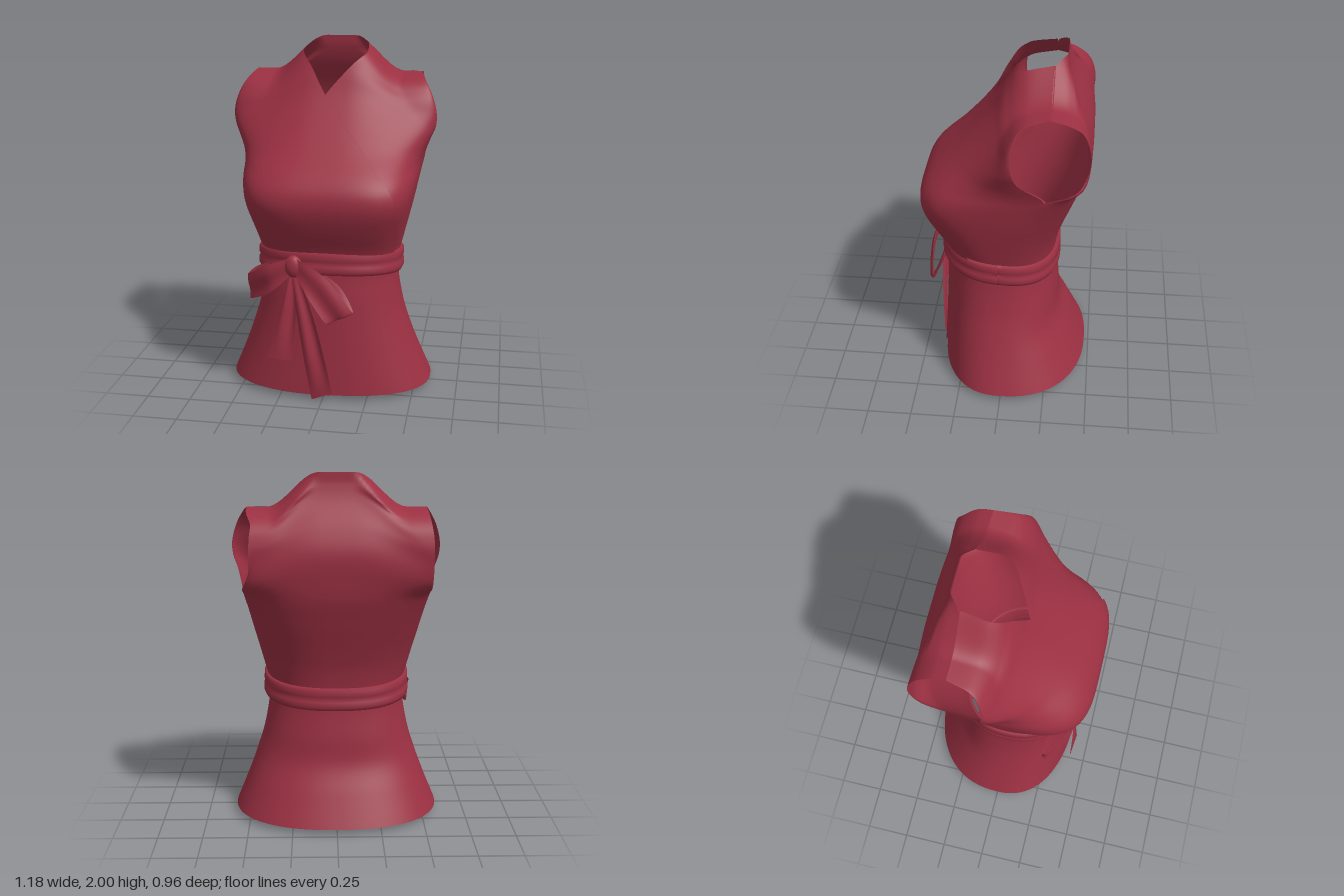
import * as THREE from 'three';

// Smooth curve through [key, value] pairs (Hermite, ascending keys)
function curve(...p) {
  const slope = (i) => {
    const a = p[Math.max(i - 1, 0)], b = p[Math.min(i + 1, p.length - 1)];
    return (b[1] - a[1]) / (b[0] - a[0]);
  };
  return (k) => {
    if (k <= p[0][0]) return p[0][1];
    if (k >= p[p.length - 1][0]) return p[p.length - 1][1];
    let i = 0;
    while (k > p[i + 1][0]) i++;
    const h = p[i + 1][0] - p[i][0], t = (k - p[i][0]) / h, t2 = t * t, t3 = t2 * t;
    return (2 * t3 - 3 * t2 + 1) * p[i][1] + (t3 - 2 * t2 + t) * h * slope(i)
      + (3 * t2 - 2 * t3) * p[i + 1][1] + (t3 - t2) * h * slope(i + 1);
  };
}
const smooth = (a, b, x) => THREE.MathUtils.smoothstep(x, a, b);

// Rows r run from the hem to the shoulder; r is the height at the garment's side.
const HEM = 0.03, TOP = 1.81;
const lower = [[0.03, 0.59], [0.2, 0.52], [0.35, 0.465], [0.5, 0.42], [0.7, 0.387], [0.8, 0.393],
  [0.9, 0.417], [1.1, 0.465], [1.25, 0.495], [1.34, 0.512]];
const seam = [[0.03, 0], [0.7, 0.03], [1.0, 0], [1.15, -0.06], [1.27, -0.15], [1.34, -0.23]];
const rise = [[0.03, 0.03], [1.2, 1.2], [1.34, 1.34], [1.4, 1.44], [1.5, 1.58], [1.6, 1.71]];
const front = {
  x: curve(...lower, [1.45, 0.55], [1.52, 0.578], [1.6, 0.583], [1.7, 0.555], [1.78, 0.51], [1.81, 0.485]),
  z: curve(...seam, [1.45, -0.1], [1.52, -0.068], [1.6, -0.055], [1.7, -0.07], [1.78, -0.13], [1.81, -0.25]),
  mid: curve([0.03, 0.385], [0.3, 0.37], [0.6, 0.355], [0.78, 0.345], [0.88, 0.37], [1.0, 0.43], [1.1, 0.47],
    [1.18, 0.482], [1.26, 0.462], [1.34, 0.4], [1.4, 0.3], [1.5, 0.175], [1.6, 0.08], [1.7, 0.005],
    [1.78, -0.1], [1.81, -0.25]),
  n: curve([0.03, 2.3], [0.8, 2.45], [1.0, 3.1], [1.18, 3.9], [1.36, 3.0], [1.5, 2.3], [1.6, 2.0], [1.81, 2.1]),
  height: curve(...rise, [1.7, 1.85], [1.78, 1.985], [1.81, 2.0]),
};
const back = {
  x: curve(...lower, [1.43, 0.512], [1.65, 0.51], [1.73, 0.5], [1.79, 0.49], [1.81, 0.485]),
  z: curve(...seam, [1.38, -0.36], [1.43, -0.425], [1.55, -0.465], [1.65, -0.455], [1.73, -0.415], [1.79, -0.33],
    [1.81, -0.25]),
  mid: curve([0.03, -0.475], [0.2, -0.39], [0.35, -0.318], [0.5, -0.3], [0.7, -0.277], [0.88, -0.3], [1.0, -0.335],
    [1.2, -0.405], [1.4, -0.465], [1.5, -0.472], [1.6, -0.43], [1.7, -0.358], [1.78, -0.325], [1.81, -0.32]),
  n: curve([0.03, 2.3], [0.8, 2.4], [1.3, 2.8], [1.81, 2.6]),
  height: curve(...rise, [1.7, 1.84], [1.78, 1.94], [1.81, 2.0]),
};
// Inner edge of the wrap panel, from rounded hem corner to collar
const wrapEdge = curve([0.03, 0.04], [0.05, 0.1], [0.1, 0.19], [0.2, 0.27], [0.35, 0.32], [0.5, 0.335], [0.75, 0.345],
  [0.9, 0.385], [1.1, 0.395], [1.2, 0.385], [1.28, 0.34], [1.34, 0.29], [1.41, 0.2], [1.5, 0.08], [1.6, -0.03],
  [1.7, -0.115], [1.74, -0.155], [1.78, -0.183], [1.81, -0.17]);

// Point on the front or back sheet at width x of row r
function sheet(side, x, r, inset = 0) {
  const s = Math.min(Math.abs(x) / side.x(r), 1), n = side.n(r);
  const lift = 1 - smooth(0.09, 0.56 - 0.18 * smooth(1.5, 1.78, r), Math.abs(x));
  let f = Math.pow(1 - Math.pow(s, n), 1 / n);
  // Towards the collar the back stands up around the neck only
  if (side === back) {
    const neck = Math.pow(lift, 1 + 7 * smooth(1.74, TOP, r));
    f = THREE.MathUtils.lerp(f, neck, smooth(1.42, 1.62, r));
  }
  const z = side.z(r) + (side.mid(r) - side.z(r)) * f - inset * (1 - Math.pow(s, 6));
  return [x, r + (side.height(r) - r) * lift, z];
}

function grid(nu, nv, fn) {
  const pos = [], index = [];
  for (let j = 0; j <= nv; j++) for (let i = 0; i <= nu; i++) {
    pos.push(...fn(i / nu, j / nv));
    if (i < nu && j < nv) {
      const a = j * (nu + 1) + i, b = a + nu + 1;
      index.push(a, a + 1, b, a + 1, b + 1, b);
    }
  }
  const g = new THREE.BufferGeometry();
  g.setAttribute('position', new THREE.Float32BufferAttribute(pos, 3));
  g.setIndex(index);
  g.computeVertexNormals();
  return g;
}

// Ruled ribbon between two smooth edge paths, bulging a little along its middle
function ribbon(edgeA, edgeB, bulge) {
  const [a, b] = [edgeA, edgeB].map((e) => new THREE.CatmullRomCurve3(e.map((p) => new THREE.Vector3(...p))));
  return grid(8, 32, (u, v) => {
    const p = a.getPoint(v).lerp(b.getPoint(v), u);
    p.z += bulge * Math.sin(u * Math.PI * 2) * Math.sin(v * Math.PI);
    return p.toArray();
  });
}

export function createModel() {
  const group = new THREE.Group();
  const cloth = new THREE.MeshStandardMaterial({ color: 0x9b3042, side: THREE.DoubleSide });
  cloth.name = 'wine red cloth';
  const add = (name, geometry) => {
    const mesh = new THREE.Mesh(geometry, cloth);
    mesh.name = name;
    group.add(mesh);
    return mesh;
  };
  const row = (v) => HEM + (TOP - HEM) * (1 - Math.cos(Math.PI * v)) / 2;

  // Back, from side to side; the left armhole is cut slightly deeper
  add('backPanel', grid(80, 100, (u, v) => {
    const r = row(v), k = 2 * u - 1;
    const s = Math.sign(k) * (1 - Math.pow(1 - Math.abs(k), 1.8));
    const p = sheet(back, s * back.x(r), r);
    p[0] -= 0.045 * smooth(0.3, 1, s) * smooth(1.36, 1.5, r) * (1 - smooth(1.72, TOP, r));
    return p;
  }));

  // Two crossing front panels; the right one lies on top
  for (const [name, sign, inset] of [['rightWrapPanel', 1, 0], ['leftUnderPanel', -1, 0.009]]) {
    add(name, grid(56, 110, (u, v) => {
      const r = row(v), outer = -front.x(r);
      let inner = wrapEdge(r);
      if (sign < 0) inner += 0.06 * smooth(1.0, 1.4, r) * (1 - smooth(1.6, 1.78, r));
      inner = Math.min(inner, front.x(r) * 0.96);
      const x = outer + (inner - outer) * Math.pow(u, 2.2);
      const p = sheet(front, sign * x, r, inset);
      p[0] += 0.009 * smooth(0.1, 0.35, x); // keeps the overlapping layers apart at the sides
      return p;
    }));
  }

  // Sash: folded band around the waist, lower at the back
  const fold = [[0.062, -0.005], [0.066, 0.018], [0.05, 0.028], [0.015, 0.029], [0, 0.018], [-0.015, 0.03],
    [-0.045, 0.031], [-0.064, 0.022], [-0.06, -0.005]];
  add('sash', grid(96, fold.length - 1, (u, v) => {
    const [dy, off] = fold[Math.round(v * (fold.length - 1))];
    const c = Math.cos(u * Math.PI * 2), s = Math.sin(u * Math.PI * 2), side = s >= 0 ? front : back;
    const base = 0.775 + 0.04 * s, e = 2 / 2.4;
    const x = (side.x(base) + off) * Math.sign(c) * Math.pow(Math.abs(c), e);
    const z = side.z(base) + (side.mid(base) - side.z(base) + off * Math.sign(s)) * Math.pow(Math.abs(s), e);
    return [x, base + dy, z];
  }));

  // Bow: knot, two loops and two hanging tails
  const knot = add('bowKnot', new THREE.SphereGeometry(1, 24, 16));
  knot.scale.set(0.05, 0.065, 0.035);
  knot.position.set(-0.16, 0.795, 0.375);
  add('bowLoopRight', ribbon(
    [[-0.17, 0.85, 0.39], [-0.32, 0.79, 0.37], [-0.45, 0.7, 0.26], [-0.39, 0.75, 0.26], [-0.17, 0.84, 0.36]],
    [[-0.16, 0.76, 0.39], [-0.29, 0.64, 0.39], [-0.435, 0.555, 0.27], [-0.35, 0.61, 0.28], [-0.16, 0.76, 0.36]], 0.012));
  add('bowLoopLeft', ribbon(
    [[-0.15, 0.85, 0.39], [0.03, 0.76, 0.44], [0.185, 0.56, 0.43], [0.1, 0.69, 0.375], [-0.15, 0.84, 0.36]],
    [[-0.15, 0.76, 0.39], [-0.06, 0.64, 0.46], [0.045, 0.495, 0.465], [-0.01, 0.6, 0.39], [-0.15, 0.76, 0.36]], 0.012));
  add('bowTailRight', ribbon(
    [[-0.18, 0.77, 0.38], [-0.23, 0.55, 0.4], [-0.305, 0.25, 0.41]],
    [[-0.15, 0.77, 0.38], [-0.145, 0.55, 0.395], [-0.16, 0.25, 0.425]], 0.015));
  add('bowTailLeft', ribbon(
    [[-0.175, 0.77, 0.38], [-0.14, 0.5, 0.39], [-0.1, 0.25, 0.4], [-0.06, 0, 0.385]],
    [[-0.14, 0.77, 0.38], [-0.04, 0.5, 0.41], [0.02, 0.25, 0.405], [0.06, 0.05, 0.395]], 0.015));
  return group;
}
